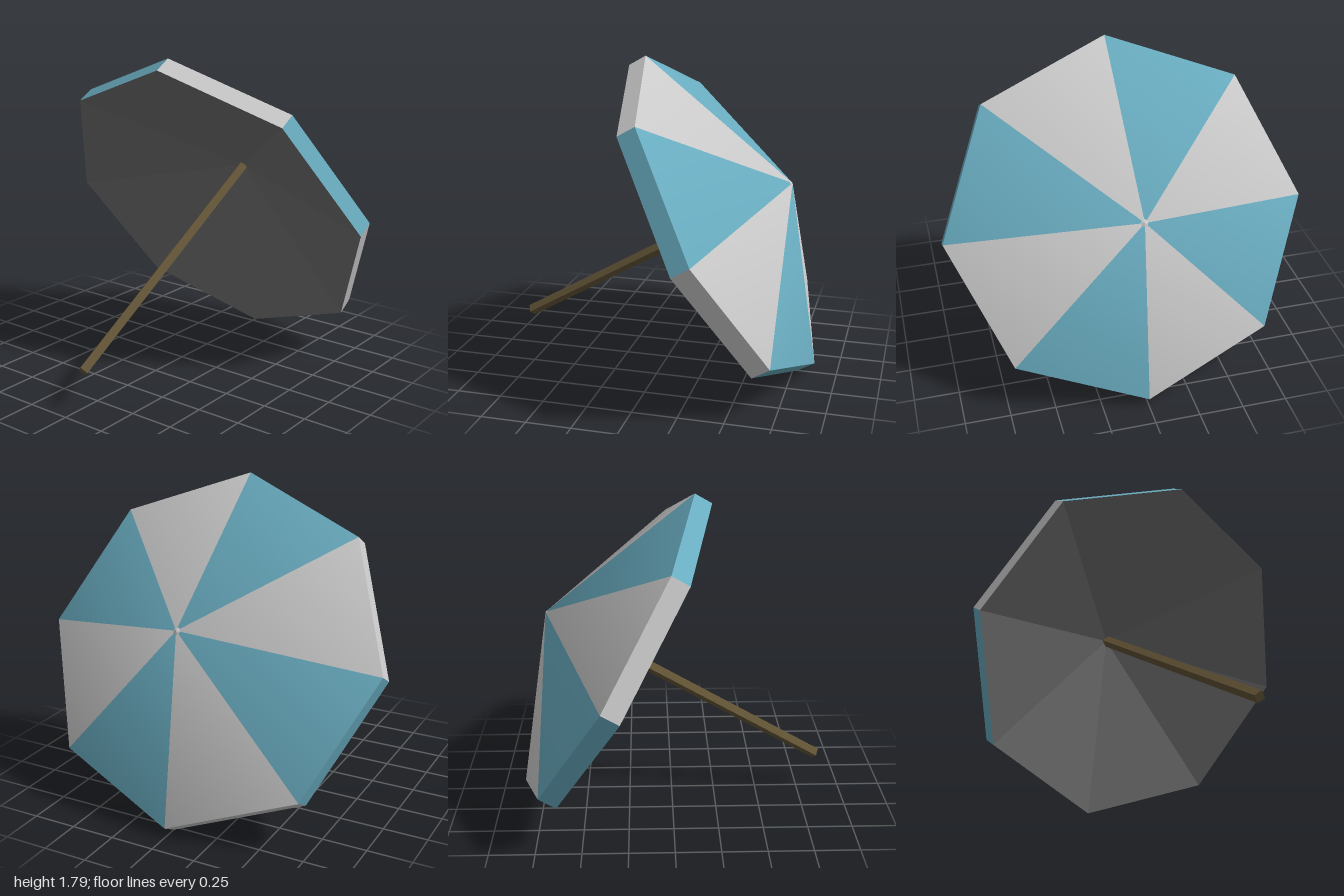
import * as THREE from 'three';

const SIDES = 8;
const BAND = 0.11;   // thickness of the canopy, seen as its rim
const RISE = 0.39;   // height of the canopy cone
const HUB = 0.02;    // radius of the small tip cap

function material(name, color) {
  const m = new THREE.MeshStandardMaterial({ color });
  m.name = name;
  return m;
}

function mesh(name, geometry, mat, y = 0) {
  const m = new THREE.Mesh(geometry, mat);
  m.name = name;
  m.position.y = y;
  return m;
}

function flat(geometry) {
  const g = geometry.toNonIndexed();
  g.computeVertexNormals();
  return g;
}

// One wedge of the canopy; its narrow end is shaded as part of a smooth tip
function wedge(height, start, step) {
  const g = new THREE.CylinderGeometry(HUB, 1, height, 1, 1, true, start, step);
  for (let i = 0; i < 2; i++) g.attributes.normal.setXYZ(i, 0, 1, 0);
  return g;
}

export function createModel() {
  const white = material('off white cloth', 0xc9cac9);
  const blue = material('light blue cloth', 0x69acc0);
  const lining = material('dark grey lining', 0x6f6f6f);
  const wood = material('brown wood', 0x625335);

  const umbrella = new THREE.Group();
  umbrella.name = 'umbrella';
  const slope = RISE * (1 - HUB);

  // Alternating canopy panels, each with its piece of the rim
  for (let i = 0; i < SIDES; i++) {
    const step = (Math.PI * 2) / SIDES;
    const start = -Math.PI / 2 + i * step;
    const cloth = i % 2 ? blue : white;
    const panel = new THREE.Group();
    panel.name = 'canopyPanel' + (i + 1);
    panel.add(
      mesh('panelTop', wedge(slope, start, step), cloth, BAND + slope / 2),
      mesh('panelRim', flat(new THREE.CylinderGeometry(1, 1, BAND, 1, 1, true, start, step)), cloth, BAND / 2)
    );
    umbrella.add(panel);
  }

  // Tip cap
  const tip = RISE - slope;
  umbrella.add(mesh('tipCap', new THREE.ConeGeometry(HUB, tip, SIDES, 1, true, -Math.PI / 2), white, BAND + RISE - tip / 2));

  // Hollow underside, parallel to the canopy top and facing down
  const profile = [new THREE.Vector2(0, RISE), new THREE.Vector2(1, 0)];
  umbrella.add(mesh('lining', new THREE.LatheGeometry(profile, SIDES, -Math.PI / 2).scale(1, 1, 1), lining));
  const underside = umbrella.children[umbrella.children.length - 1];
  underside.geometry = flat(underside.geometry);

  // Square pole
  const low = -1.313, high = RISE + 0.03;
  umbrella.add(mesh('pole', flat(new THREE.CylinderGeometry(0.033, 0.033, high - low, 4)), wood, (low + high) / 2));

  // Lay the umbrella over so it rests on its rim
  umbrella.rotation.z = -Math.PI / 3;
  umbrella.position.set(0.278, 0.867, 0);

  const model = new THREE.Group();
  model.name = 'beachUmbrella';
  model.add(umbrella);
  return model;
}
